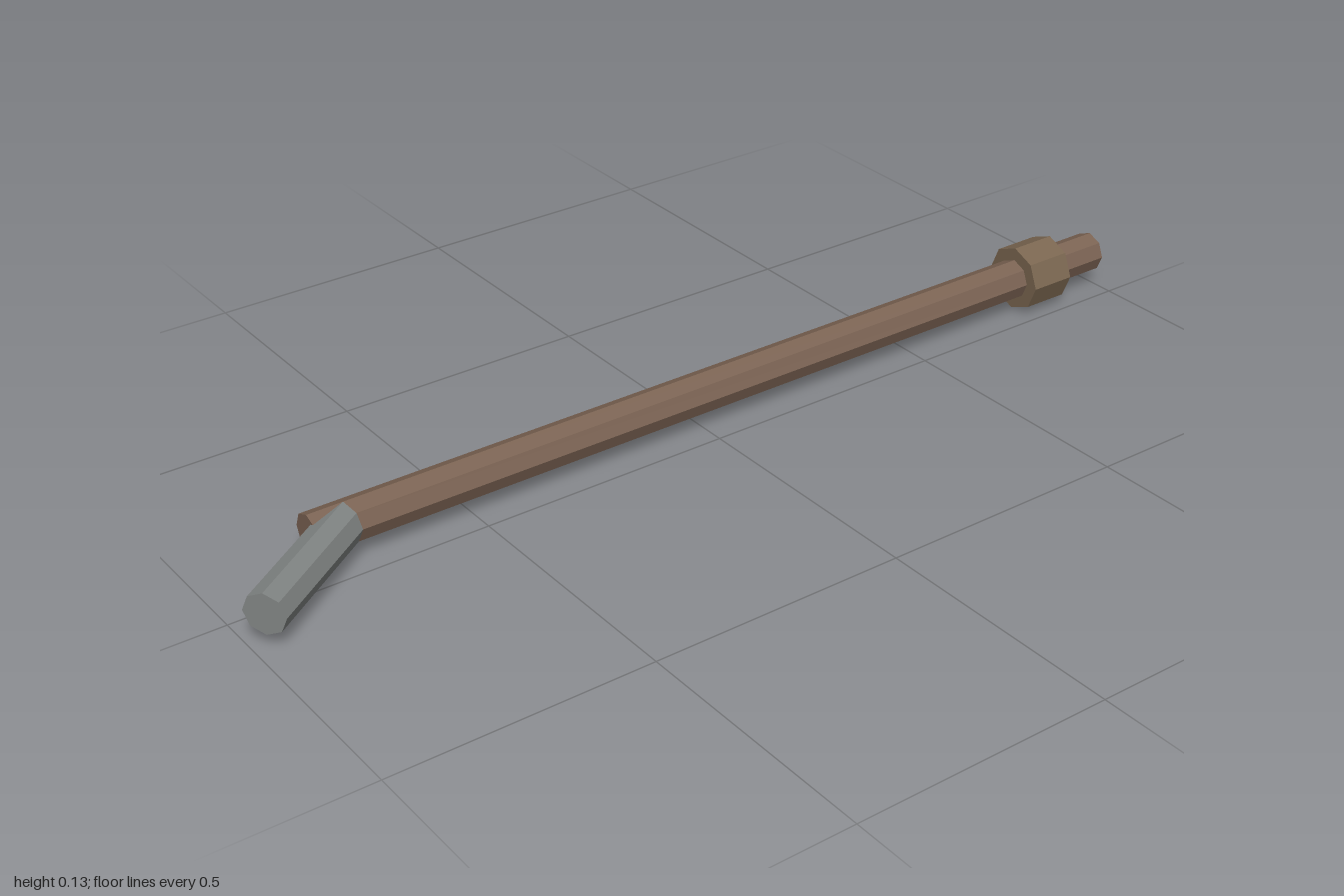
import * as THREE from 'three';

const AXIS_X = -0.067, AXIS_Y = 0.066;

// Capped octagonal bar between two points in the (x, z) plane
function bar(name, radius, [x0, z0], [x1, z1], color) {
  const length = Math.hypot(x1 - x0, z1 - z0);
  const geometry = new THREE.CylinderGeometry(radius, radius, length, 8);
  geometry.rotateX(Math.PI / 2);
  const mesh = new THREE.Mesh(geometry, new THREE.MeshStandardMaterial({ color, flatShading: true }));
  mesh.name = name;
  mesh.rotation.y = Math.atan2(x1 - x0, z1 - z0);
  mesh.position.set((x0 + x1) / 2, AXIS_Y, (z0 + z1) / 2);
  return mesh;
}

export function createModel() {
  const group = new THREE.Group();
  group.name = 'bentRod';
  group.add(
    // Long straight shaft
    bar('shaft', 0.04, [AXIS_X, -1], [AXIS_X, 0.81], 0x7a6252),
    // Thicker ring near the back end
    bar('collar', 0.066, [AXIS_X, -0.885], [AXIS_X, -0.79], 0x7a6650),
    // Angled metal tip at the front
    bar('tip', 0.04, [AXIS_X, 0.74], [0.098, 0.977], 0x808483),
  );
  return group;
}
